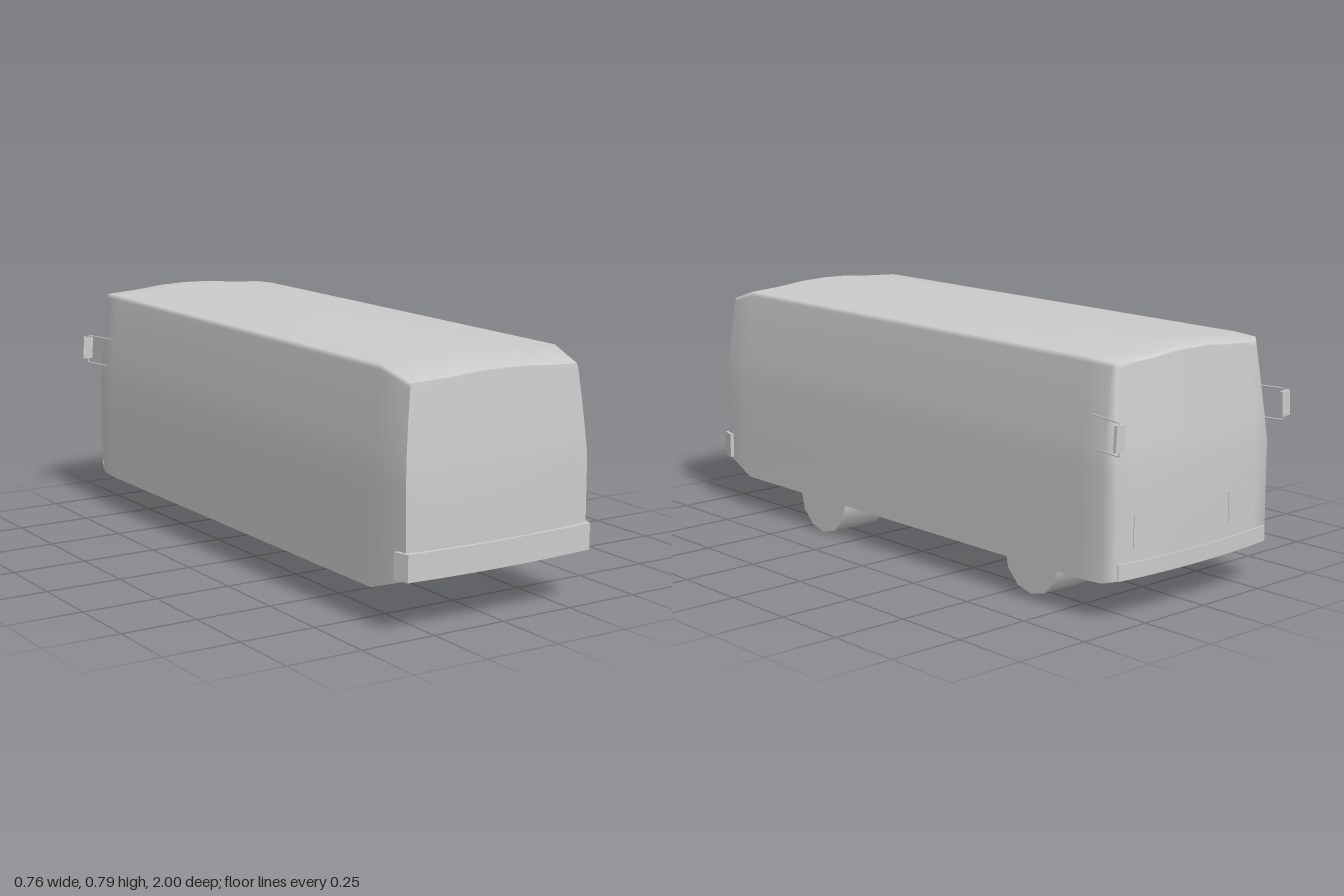
import * as THREE from 'three';
import { mergeVertices } from 'three/addons/utils/BufferGeometryUtils.js';

const grey = new THREE.MeshStandardMaterial({ color: 0xcccccc, side: THREE.DoubleSide });

// Half of the cross-section, from the sill up to the roof ridge
const half = [
  [0.35, 0.115], [0.35, 0.25], [0.35, 0.45], [0.345, 0.53], [0.334, 0.65], [0.322, 0.755],
  [0.317, 0.77], [0.2, 0.777], [0.1, 0.787], [0, 0.79],
];
const ring = [...half, ...half.slice(0, -1).reverse().map(([x, y]) => [-x, y])];

// Stations along the length: z, width scale, lowest y, highest y
const stations = [
  { end: -1, w: 0.945, lo: 0.13, hi: 0.775 },
  { z: -0.91, w: 0.982, lo: 0.118, hi: 0.786 },
  { z: -0.82, w: 1, lo: 0.115, hi: 0.79 },
  { z: 0.82, w: 1, lo: 0.115, hi: 0.79 },
  { end: 1, w: 0.945, lo: 0.165, hi: 0.75 },
];

// Depth of the bowed, leaning end faces
function endZ(end, x, y) {
  const bow = 0.022 * (x / 0.33) ** 2;
  const lean = Math.max(0, y - 0.44) / 0.33;
  return end * ((end > 0 ? 0.99 - 0.03 * lean : 0.975 - 0.04 * lean) - bow);
}

function place(s, [px, py]) {
  const x = px * s.w;
  const y = s.lo + ((py - 0.115) / 0.675) * (s.hi - s.lo);
  return [x, y, s.end ? endZ(s.end, x, y) : s.z];
}

// Fills rows of points with quads
function grid(rows, flip, out = { pos: [], idx: [] }) {
  const base = out.pos.length / 3;
  const n = rows[0].length;
  rows.flat().forEach((p) => out.pos.push(...p));
  for (let i = 0; i < rows.length - 1; i++) {
    for (let j = 0; j < n - 1; j++) {
      const a = base + i * n + j, b = a + 1, c = a + n, d = c + 1;
      out.idx.push(...(flip ? [a, b, c, b, d, c] : [a, c, b, b, c, d]));
    }
  }
  return out;
}

function surface({ pos, idx }) {
  let g = new THREE.BufferGeometry();
  g.setAttribute('position', new THREE.Float32BufferAttribute(pos, 3));
  g.setIndex(idx);
  g = mergeVertices(g, 1e-4);
  g.computeVertexNormals();
  return g;
}

// Rows across an end face, sharing the rim of the shell
function capRows(s) {
  return half.map((p) => {
    const [hx, y] = place(s, p);
    return Array.from({ length: 11 }, (_, k) => {
      const x = hx * (k / 5 - 1);
      return [x, y, endZ(s.end, x, y)];
    });
  });
}

// Bumper bent round the corners of an end
function bumperGeometry(end, zMid, halfWidth, zCorner, zSide, height) {
  const pts = [];
  pts.push([halfWidth, zSide]);
  for (let k = 4; k >= -4; k--) {
    const t = k / 4;
    pts.push([t * (halfWidth - 0.015), zMid - (zMid - zCorner) * t * t]);
  }
  pts.push([-halfWidth, zSide]);
  const shape = new THREE.Shape(pts.map(([x, z]) => new THREE.Vector2(x, -end * z)));
  const g = new THREE.ExtrudeGeometry(shape, { depth: height, bevelEnabled: false });
  g.rotateX(-Math.PI / 2);
  return g;
}

export function createModel() {
  const bus = new THREE.Group();
  bus.name = 'bus';
  const add = (name, geometry, parent = bus) => {
    const mesh = new THREE.Mesh(geometry, grey);
    mesh.name = name;
    parent.add(mesh);
    return mesh;
  };

  // Shell with its rounded windscreen end, then the sharper pane end and floor
  const rows = stations.map((s) => ring.map((p) => place(s, p)));
  const shell = grid(rows, true);
  grid(capRows(stations[0]), false, shell);
  add('bodyShell', surface(shell));
  add('rearPane', surface(grid(capRows(stations[4]), true)));
  add('floor', surface(grid(rows.map((r) => [r[r.length - 1], r[0]]), false)));

  // Bumpers
  add('rearBumper', bumperGeometry(1, 1.0, 0.349, 0.985, 0.935, 0.083)).position.y = 0.165;
  add('frontBumper', bumperGeometry(-1, 0.98, 0.338, 0.96, 0.93, 0.05)).position.y = 0.13;

  // Wheels on one side only
  for (const [name, z, y, r] of [['rearWheel', 0.4, 0.12, 0.12], ['frontWheel', -0.62, 0.136, 0.116]]) {
    const g = new THREE.CylinderGeometry(r, r, 0.18, 12);
    g.rotateZ(Math.PI / 2);
    add(name, g).position.set(0.258, y, z);
  }

  for (const side of [1, -1]) {
    // Headlight panels
    const lamp = add('headlight', new THREE.BoxGeometry(0.13, 0.1, 0.02));
    lamp.position.set(side * 0.2, 0.27, -0.958);
    lamp.rotation.y = -side * 0.08;

    // Mirror plate on two bent arms
    const mirror = new THREE.Group();
    mirror.name = 'wingMirror';
    bus.add(mirror);
    const plate = add('mirrorPlate', new THREE.BoxGeometry(0.036, 0.078, 0.012), mirror);
    plate.position.set(side * 0.362, 0.565, -0.991);
    plate.rotation.z = side * 0.06;
    for (const [y, tip] of [[0.61, 0.6], [0.512, 0.53]]) {
      const path = new THREE.CurvePath();
      const pts = [[0.335, y, -0.855], [0.361, y, -0.988], [0.361, tip, -0.991]]
        .map(([x, py, z]) => new THREE.Vector3(side * x, py, z));
      path.add(new THREE.LineCurve3(pts[0], pts[1]));
      path.add(new THREE.LineCurve3(pts[1], pts[2]));
      add('mirrorArm', new THREE.TubeGeometry(path, 16, 0.0025, 6), mirror);
    }
  }
  return bus;
}
